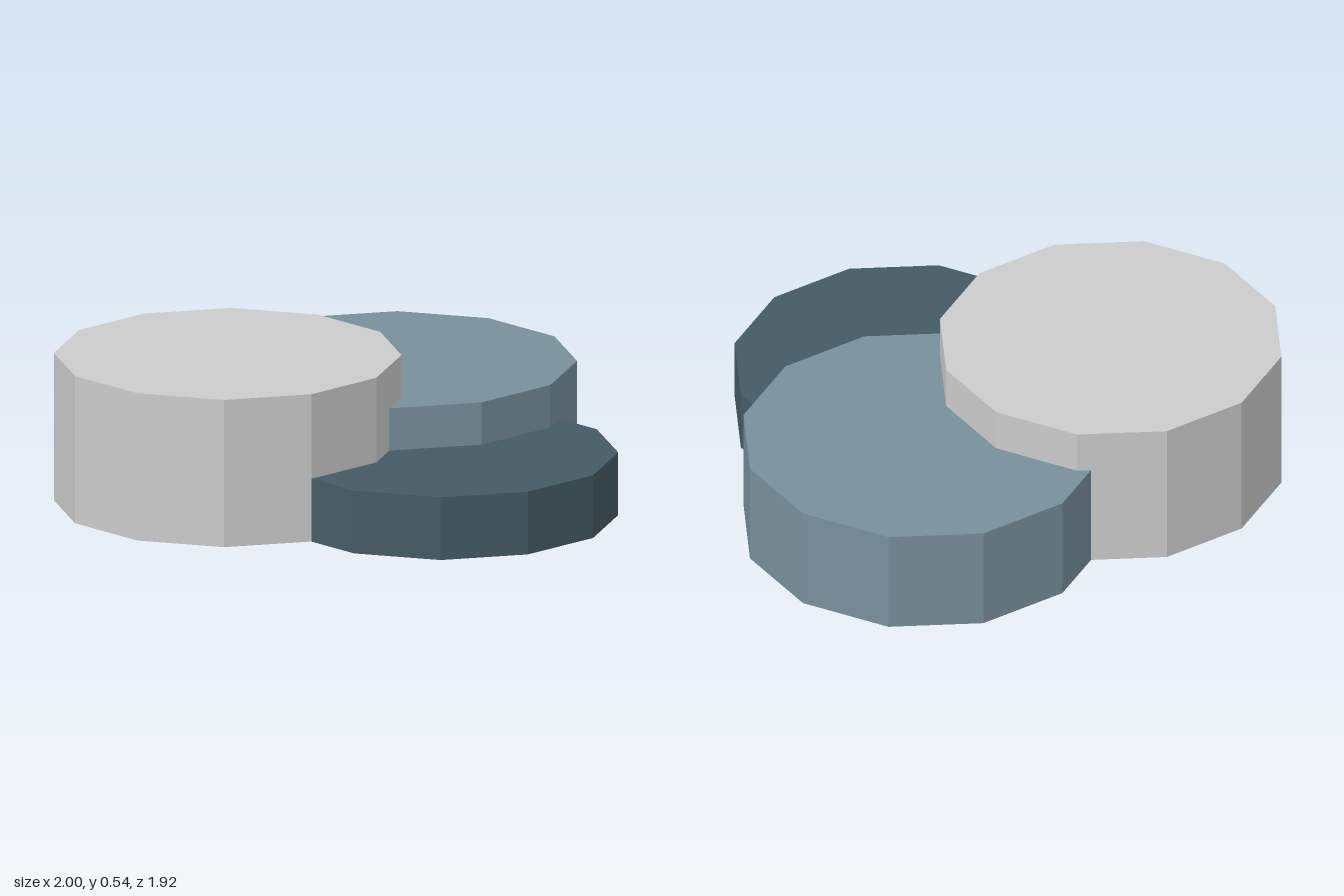
import * as THREE from 'three';

// One twelve-sided flat slab standing on the ground
function slab(name, color, radius, height, x, z) {
  const mesh = new THREE.Mesh(
    new THREE.CylinderGeometry(radius, radius, height, 12),
    new THREE.MeshStandardMaterial({ color, flatShading: true })
  );
  mesh.name = name;
  mesh.position.set(x, height / 2, z);
  return mesh;
}

export function createModel() {
  const group = new THREE.Group();
  group.name = 'steppedSlabs';
  group.add(
    slab('tallSlab', 0xcccccc, 0.615, 0.54, -0.385, 0.19),
    slab('middleSlab', 0x78909c, 0.65, 0.385, 0.19, -0.31),
    slab('lowSlab', 0x455a64, 0.615, 0.23, 0.385, 0.345)
  );
  return group;
}
